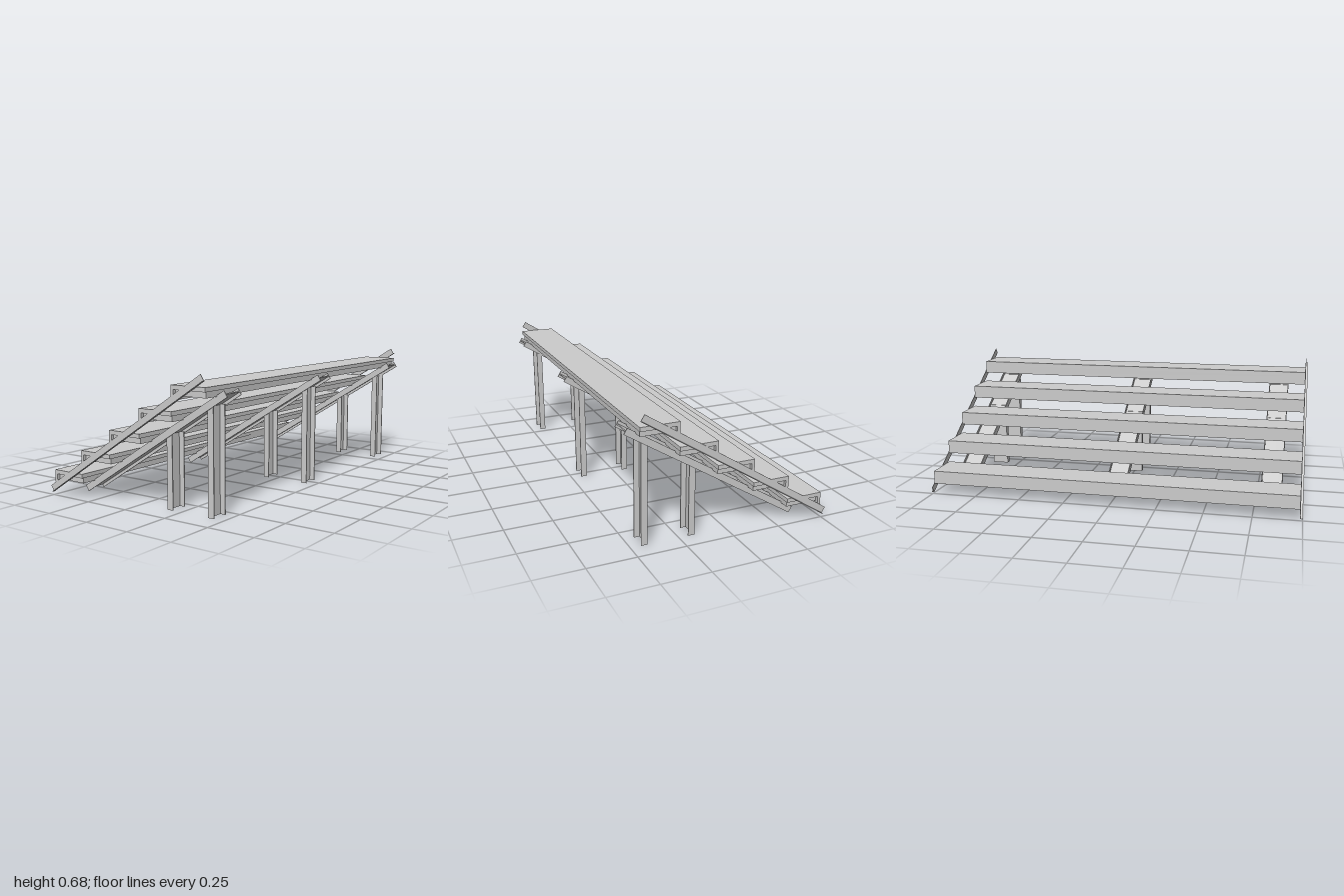
import * as THREE from 'three';

const mat = new THREE.MeshStandardMaterial({ color: 0xcccccc, flatShading: true });

// Box given by its min and max corners
function box(name, x0, x1, y0, y1, z0, z1) {
  const m = new THREE.Mesh(new THREE.BoxGeometry(x1 - x0, y1 - y0, z1 - z0), mat);
  m.position.set((x0 + x1) / 2, (y0 + y1) / 2, (z0 + z1) / 2);
  m.name = name;
  return m;
}

// Rolled section running along +x: two side flanges joined by a web whose top is at height webTop
function section(length, width, depth, t, webTop) {
  const w = width / 2, d = depth / 2, f = w - t;
  const s = new THREE.Shape([
    [-w, -d], [-f, -d], [-f, webTop - t], [f, webTop - t], [f, -d], [w, -d],
    [w, d], [f, d], [f, webTop], [-f, webTop], [-f, d], [-w, d],
  ].map(([x, y]) => new THREE.Vector2(x, y)));
  const g = new THREE.ExtrudeGeometry(s, { depth: length, bevelEnabled: false });
  return g.rotateY(Math.PI / 2);
}

// Places an object running along x between two points of the xy plane
function along(object, x0, y0, x1, y1, z) {
  object.position.set(x0, y0, z);
  object.rotation.z = Math.atan2(y1 - y0, x1 - x0);
  return object;
}

export function createModel() {
  const model = new THREE.Group();
  model.name = 'terraceSteps';

  // Five long steps: slab, deep front lip and a shallow frame under the slab
  for (let i = 0; i < 5; i++) {
    const step = new THREE.Group();
    step.name = 'step';
    step.position.set(-0.5 + i * 0.1963, 0.13 + i * 0.1228, 0);
    step.add(box('tread', 0, 0.1963, -0.021, 0, -0.986, 0.986));
    step.add(box('frontLip', 0, 0.016, -0.071, -0.021, -0.986, 0.986));
    step.add(box('frontRail', 0.016, 0.022, -0.05, -0.021, -0.97, 0.97));
    step.add(box('backRail', 0.184, 0.19, -0.05, -0.021, -0.97, 0.97));
    for (const s of [-1, 1]) {
      const rail = box('endRail', 0.022, 0.184, -0.05, -0.021, 0.964, 0.97);
      rail.position.z *= s;
      step.add(rail);
    }
    model.add(step);
  }

  // Sloping angle bars across the step ends: upright plate and outward bottom leg
  const barLength = Math.hypot(0.99, 0.636);
  for (const s of [-1, 1]) {
    const bar = new THREE.Group();
    bar.name = 'sideBar';
    bar.add(box('barPlate', 0, barLength, -0.018, 0.018, -0.0015, 0.0015));
    const leg = box('barLeg', 0, barLength, -0.018, -0.015, 0.0015, 0.0125);
    leg.position.z *= s;
    bar.add(leg);
    model.add(along(bar, -0.521, 0.028, 0.469, 0.664, s * 0.9875));
  }

  // Three sloping H-section beams with the web at mid depth, each on two channel posts
  const beamLength = Math.hypot(0.89, 0.556);
  for (const z of [-0.865, 0, 0.835]) {
    const beam = new THREE.Mesh(section(beamLength, 0.112, 0.034, 0.005, 0.0025), mat);
    beam.name = 'beam';
    model.add(along(beam, -0.368, 0.031, 0.522, 0.587, z));
    for (const [x, height] of [[0.184, 0.37], [0.429, 0.524]]) {
      const post = new THREE.Mesh(section(height, 0.092, 0.033, 0.005, 0.0165), mat);
      post.name = 'post';
      model.add(along(post, x, 0, x, height, z));
    }
  }
  return model;
}
